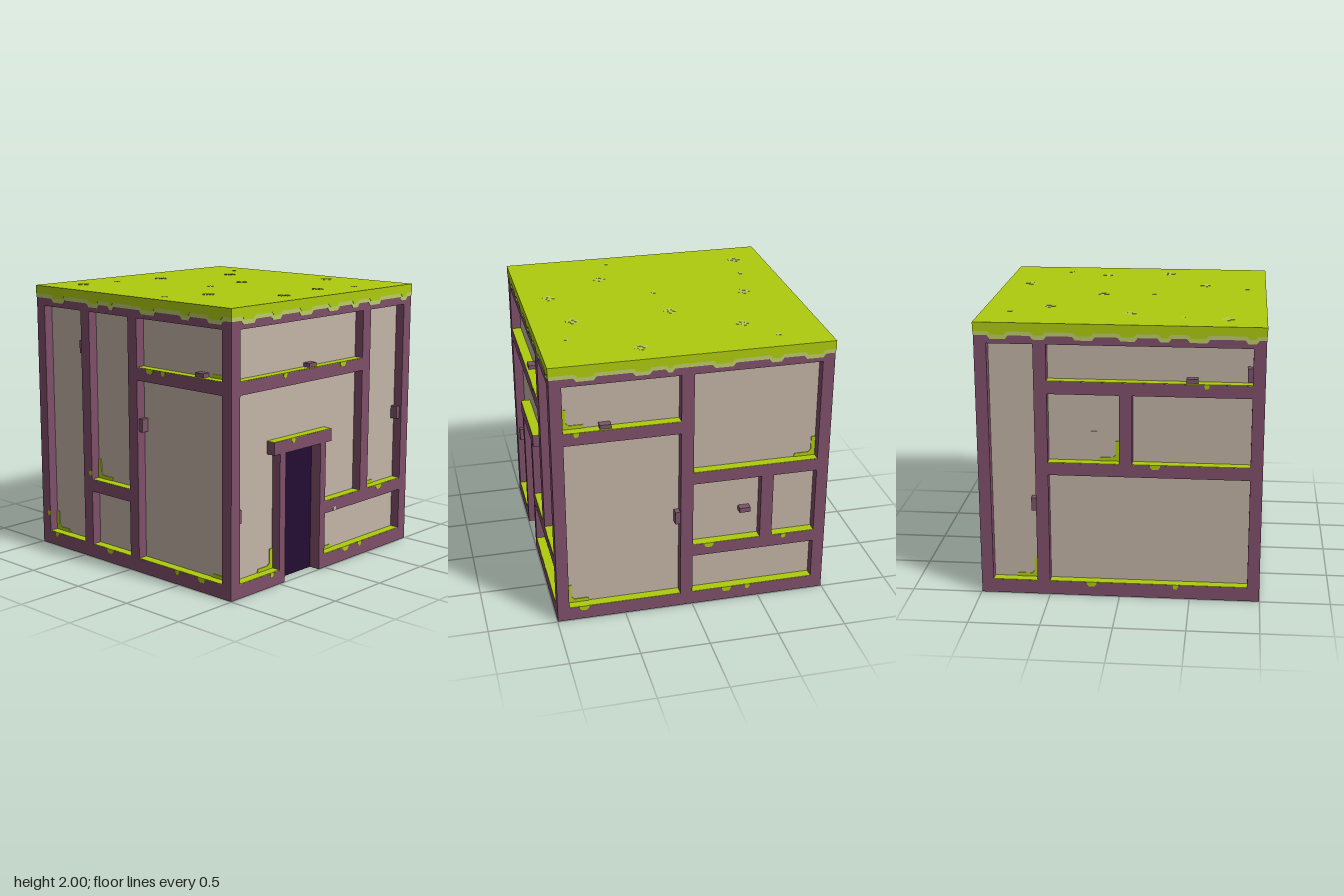
import * as THREE from 'three';

// Depths from the middle: outer beam face, plaster face, back of the beams
const R = 0.996, P = 0.926, IN = 0.91;

const mat = (name, color) => Object.assign(new THREE.MeshStandardMaterial({ color }), { name });
const rectangle = (a, b, y0, y1) => [[a, y0], [b, y0], [b, y1], [a, y1]];
const vectors = (points) => points.map(([x, y]) => new THREE.Vector2(x, y));

const add = (parent, name, geometry, material) => {
  const mesh = new THREE.Mesh(geometry, material);
  mesh.name = name;
  parent.add(mesh);
  return mesh;
};

// Box given by its lower and upper limits
const block = (parent, name, material, x0, x1, y0, y1, z0, z1) => {
  const mesh = add(parent, name, new THREE.BoxGeometry(x1 - x0, y1 - y0, z1 - z0), material);
  mesh.position.set((x0 + x1) / 2, (y0 + y1) / 2, (z0 + z1) / 2);
};

// Extruded outline with optional holes
const plate = (parent, name, material, outline, z0, z1, holes = []) => {
  const shape = new THREE.Shape(vectors(outline));
  shape.holes = holes.map((hole) => new THREE.Path(vectors(hole)));
  const geometry = new THREE.ExtrudeGeometry(shape, { depth: z1 - z0, bevelEnabled: false });
  add(parent, name, geometry, material).position.z = z0;
};

// Strip along the roof edge that hangs lower at each drip [centre, half width]
const fringeOutline = (drips, base, low, grow, half) => {
  const points = [[half, 1.97], [-half, 1.97], [-half, base]];
  for (const [u, width] of drips) {
    const w = width + grow;
    points.push([u - w, base], [u - w + 0.02, low], [u + w - 0.02, low], [u + w, base]);
  }
  return [...points, [half, base]];
};

export function createModel() {
  const model = new THREE.Group();
  model.name = 'timberBlock';
  const timber = mat('plum timber', 0x7f4f69);
  const pegWood = mat('dusty plum', 0x7b5567);
  const plaster = mat('beige plaster', 0xc3b4a6);
  const grass = mat('lime grass', 0xaecb0e);
  const pale = mat('pale grass', 0xbacb6c);
  const dark = mat('dark doorway', 0x230d33);

  const ledgeMoss = (wall, a, b, y) => block(wall, 'ledgeMoss', grass, a, b, y - 0.001, y + 0.004, P - 0.01, R - 0.001);

  // Stepped moss growing from a panel corner, side 1 = to the right, -1 = to the left
  const cornerMoss = (wall, u, y, side) => {
    const steps = [[0, 0], [0.16, 0], [0.15, 0.03], [0.05, 0.03], [0.03, 0.05], [0.03, 0.15], [0, 0.15]];
    plate(wall, 'cornerMoss', grass, steps.map(([du, dy]) => [u + side * du, y + dy]), P - 0.002, P + 0.006);
  };

  // Moss dripping over the front of a beam
  const mossDrip = (wall, u, y, r) => plate(wall, 'mossDrip', grass,
    [[u - r, y + 0.004], [u - r, y - 0.012], [u - r * 0.6, y - 0.03], [u + r * 0.6, y - 0.03], [u + r, y - 0.012], [u + r, y + 0.004]],
    R - 0.002, R + 0.002);

  // One wall, with u to the right as seen from outside and y up.
  // panels [u0,u1,y0,y1], mossy [panel, side], drips [panel, u], pegs [u, y, upright]
  const buildWall = (name, turn, fringe, { panels, mossy, drips, pegs, outline = rectangle(-R, R, 0, 1.95) }) => {
    const wall = new THREE.Group();
    wall.name = name;
    wall.rotation.y = turn;
    model.add(wall);

    plate(wall, 'timberFrame', timber, outline, IN, R, panels.map((p) => rectangle(...p)));
    for (const [a, b, y] of panels) ledgeMoss(wall, a, b, y);
    for (const [i, side] of mossy) cornerMoss(wall, panels[i][side > 0 ? 0 : 1], panels[i][2], side);
    drips.forEach(([i, u], n) => mossDrip(wall, u, panels[i][2], n % 2 ? 0.018 : 0.034));

    // Wooden pegs
    for (const [u, y, upright] of pegs) {
      const w = upright ? 0.018 : 0.04, h = upright ? 0.048 : 0.018;
      block(wall, 'peg', pegWood, u - w, u + w, y - h, y + h, P - 0.01, 0.98);
    }

    // Hanging roof edge in two tones
    plate(wall, 'paleFringe', pale, fringeOutline(fringe, 1.908, 1.882, 0.008, 0.998), 0.99, 0.998);
    plate(wall, 'grassFringe', grass, fringeOutline(fringe, 1.936, 1.912, 0, 1), 0.992, 1);
    return wall;
  };

  // Plaster core, set back around the doorway on the right wall
  block(model, 'plasterCore', plaster, -P, 0.9, 0.02, 1.95, -P, P);
  block(model, 'doorWallFront', plaster, 0.89, P, 0.02, 1.95, 0.47, P);
  block(model, 'doorWallBack', plaster, 0.89, P, 0.02, 1.95, -P, 0.03);
  block(model, 'doorWallTop', plaster, 0.89, P, 0.98, 1.95, 0.03, 0.47);
  block(model, 'floor', timber, -0.95, 0.91, 0, 0.03, -0.95, 0.95);
  block(model, 'doorway', dark, 0.898, 0.912, 0, 0.945, 0.05, 0.45);

  const broadFringe = [[-0.75, 0.07], [-0.36, 0.06], [-0.17, 0.025], [0.205, 0.075], [0.575, 0.045], [0.85, 0.07]];
  const closeFringe = [[-0.83, 0.065], [-0.55, 0.05], [-0.24, 0.07], [0.06, 0.06], [0.31, 0.04], [0.54, 0.07], [0.9, 0.04]];

  const front = buildWall('frontWall', 0, broadFringe, {
    panels: [[-0.91, -0.5, 0.1, 1.85], [-0.41, 0, 0.1, 0.51], [-0.41, 0, 0.6, 1.85], [0.09, 0.91, 0.1, 1.41], [0.09, 0.91, 1.5, 1.85]],
    mossy: [[0, 1], [2, 1], [3, -1], [4, -1]],
    drips: [[1, -0.22], [0, -0.83], [3, 0.72], [3, 0.48], [4, 0.22], [4, 0.355]],
    pegs: [[-0.518, 1.58, 1], [0.107, 1.085, 1], [0.685, 1.515, 0]],
  });
  mossDrip(front, -0.92, 0.255, 0.018);
  mossDrip(front, -0.425, 0.66, 0.018);

  // The opening around the doorway is part of this frame's outline
  const right = buildWall('rightWall', Math.PI / 2, closeFringe, {
    outline: [[-R, 0], [-0.44, 0], [-0.44, 0.1], [-0.91, 0.1], [-0.91, 1.41], [0.41, 1.41], [0.41, 0.5], [0, 0.5],
      [0, 0.95], [-0.06, 0.95], [-0.06, 0], [R, 0], [R, 1.95], [-R, 1.95]],
    panels: [[-0.91, 0.41, 1.5, 1.85], [0.5, 0.91, 0.5, 1.85], [0, 0.91, 0.1, 0.41]],
    mossy: [[1, 1], [2, 1]],
    drips: [[0, 0.18], [0, -0.455], [2, 0.25], [2, 0.42], [1, 0.64]],
    pegs: [[-0.14, 1.515, 0], [0.89, 1.02, 1], [-0.893, 0.57, 1]],
  });
  block(right, 'doorPost', timber, -0.5, -0.44, 0, 0.95, IN, R);
  block(right, 'doorLintel', timber, -0.56, 0.06, 0.94, 1.03, IN, R);
  ledgeMoss(right, -0.91, -0.5, 0.1);
  ledgeMoss(right, 0, 0.41, 0.5);
  ledgeMoss(right, -0.56, 0.06, 1.03);
  cornerMoss(right, -0.5, 0.1, -1);
  mossDrip(right, -0.58, 0.1, 0.018);
  mossDrip(right, -0.36, 1.03, 0.018);

  buildWall('backWall', Math.PI, broadFringe, {
    panels: [[-0.91, -0.09, 0.1, 1.41], [-0.91, -0.09, 1.5, 1.85], [0, 0.91, 0.1, 0.41], [0, 0.5, 0.5, 1],
      [0.59, 0.91, 0.5, 1], [0, 0.91, 1.09, 1.85]],
    mossy: [[0, 1], [1, 1], [5, -1]],
    drips: [[2, 0.26], [2, 0.42], [3, 0.12], [4, 0.68], [0, -0.8], [1, -0.82]],
    pegs: [[-0.107, 0.73, 1], [-0.615, 1.515, 0], [0.39, 0.73, 0]],
  });

  buildWall('leftWall', -Math.PI / 2, closeFringe, {
    panels: [[-0.91, -0.59, 0.1, 1.85], [-0.5, 0.91, 0.1, 0.91], [-0.5, 0, 1, 1.5], [0.09, 0.91, 1, 1.5], [-0.5, 0.91, 1.59, 1.85]],
    mossy: [[0, -1], [2, -1]],
    drips: [[1, -0.2], [1, 0.4], [3, 0.25], [4, 0.6]],
    pegs: [[-0.608, 0.68, 1], [0.5, 1.605, 0], [0.892, 1.66, 1]],
  });

  // Small chips of plaster
  block(model, 'beamChip', plaster, 0.99, 0.999, 0.41, 0.44, -0.125, -0.097);
  block(model, 'panelChip', plaster, -P - 0.008, -P + 0.01, 1.18, 1.22, -0.2, -0.16);

  // Grass roof with pale flowers and dots
  block(model, 'grassRoof', grass, -1, 1, 1.94, 1.998, -1, 1);
  const petal = (x, z) => block(model, 'flowerPetal', pale, x - 0.015, x + 0.015, 1.996, 2, z - 0.015, z + 0.015);
  const flowers = [[0.33, -0.8], [-0.46, -0.55], [-0.02, -0.21], [0.7, -0.24], [-0.645, 0.045], [0.79, 0.235], [0.355, 0.545], [-0.77, 0.73]];
  for (const [x, z] of flowers) {
    for (const s of [-0.031, 0.031]) {
      petal(x + s, z);
      petal(x, z + s);
    }
  }
  for (const [x, z] of [[-0.645, -0.8], [0.795, -0.55], [0.015, 0.17], [-0.735, 0.42], [0.235, 0.86]]) petal(x, z);

  return model;
}
